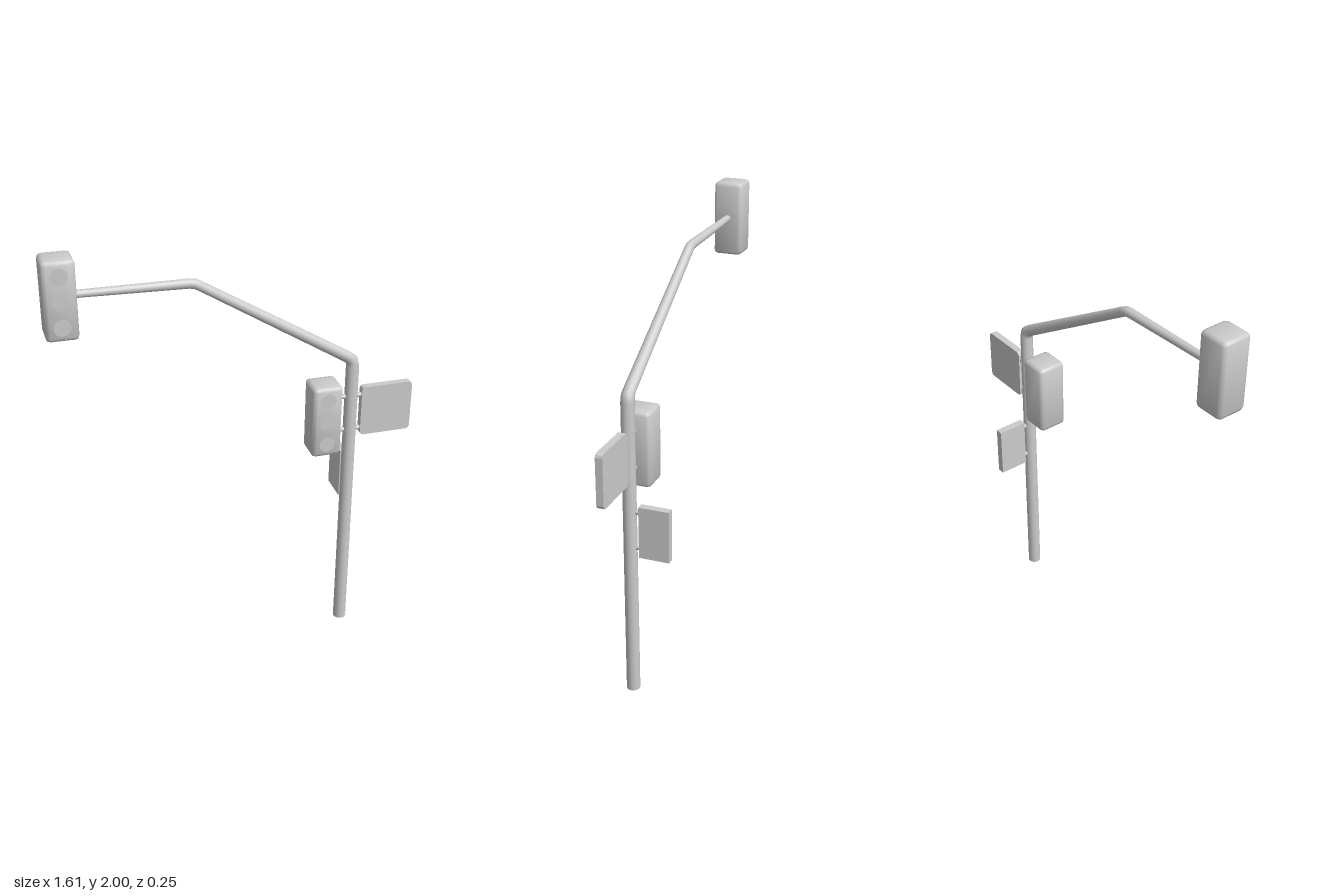
import * as THREE from 'three';
import { RoundedBoxGeometry } from 'three/addons/geometries/RoundedBoxGeometry.js';

const Z = 0.055;      // depth of the pole axis
const POLE_X = 0.519;

export function createModel() {
  const model = new THREE.Group();
  const grey = new THREE.MeshStandardMaterial({ color: 0xcccccc });

  const add = (parent, name, geometry, x = 0, y = 0, z = 0) => {
    const mesh = new THREE.Mesh(geometry, grey);
    mesh.name = name;
    mesh.position.set(x, y, z);
    parent.add(mesh);
    return mesh;
  };

  // Tapered pipe in the XY plane; each ring is [x, y, radius, angle of its direction from +x]
  const pipe = (rings, sides = 16) => {
    const pos = [], index = [];
    for (const [x, y, r, a] of rings) {
      for (let i = 0; i < sides; i++) {
        const t = (i / sides) * Math.PI * 2, u = Math.cos(t) * r;
        pos.push(x + Math.sin(a) * u, y - Math.cos(a) * u, Math.sin(t) * r);
      }
    }
    for (let k = 0; k < rings.length - 1; k++) {
      for (let i = 0; i < sides; i++) {
        const a = k * sides + i, b = k * sides + (i + 1) % sides;
        index.push(a, b + sides, b, a, a + sides, b + sides);
      }
    }
    const g = new THREE.BufferGeometry();
    g.setAttribute('position', new THREE.Float32BufferAttribute(pos, 3));
    g.setIndex(index);
    g.computeVertexNormals();
    return g;
  };

  // Pole bending into the tapered overhead arm
  const up = Math.PI / 2, slope = Math.PI - 0.55, flat = Math.PI - 0.02;
  add(model, 'poleAndArm', pipe([
    [POLE_X, 0, 0.03, up],
    [POLE_X, 1.365, 0.029, up],
    [POLE_X - 0.006, 1.393, 0.028, (up + slope) / 2],
    [POLE_X - 0.028, 1.41, 0.026, slope],
    [-0.165, 1.814, 0.021, slope],
    [-0.185, 1.824, 0.021, (slope + flat) / 2],
    [-0.21, 1.827, 0.0205, flat],
    [-0.69, 1.835, 0.016, flat],
  ]), 0, 0, Z);
  add(model, 'poleBase', new THREE.CircleGeometry(0.03, 16), POLE_X, 0, Z).rotation.x = Math.PI / 2;

  // Chamfered housing whose normals lean outwards, for a softly rounded look
  const size = new THREE.Vector3(0.135, 0.338, 0.134);
  const housing = new RoundedBoxGeometry(size.x, size.y, size.z, 1, 0.018);
  const { position, normal } = housing.attributes;
  const p = new THREE.Vector3(), n = new THREE.Vector3();
  for (let i = 0; i < position.count; i++) {
    p.fromBufferAttribute(position, i).divide(size);
    n.fromBufferAttribute(normal, i).addScaledVector(p, 0.7).normalize();
    normal.setXYZ(i, n.x, n.y, n.z);
  }

  // Signal heads with three flush lenses
  const signal = (name, x, y) => {
    const head = new THREE.Group();
    head.name = name;
    head.position.set(x, y, Z);
    add(head, 'housing', housing);
    for (const dy of [0.107, 0, -0.107]) {
      add(head, 'lens', new THREE.CircleGeometry(0.036, 24), 0, dy, size.z / 2 + 0.0007);
    }
    model.add(head);
  };
  signal('armSignal', -0.738, 1.831);
  signal('poleSignal', 0.391, 1.129);

  // Street sign plate with clipped corners
  const h = 0.119, c = 0.016, k = c * 0.3;
  const plate = new THREE.Shape([
    [-h + c, -h], [h - c, -h], [h - k, -h + k], [h, -h + c],
    [h, h - c], [h - k, h - k], [h - c, h], [-h + c, h],
    [-h + k, h - k], [-h, h - c], [-h, -h + c], [-h + k, -h + k],
  ].map(([x, y]) => new THREE.Vector2(x, y)));
  const plateGeometry = new THREE.ExtrudeGeometry(plate, { depth: 0.032, bevelEnabled: false });
  add(model, 'sideSign', plateGeometry, 0.684, 1.136, Z - 0.016);

  // Flat box behind the pole
  add(model, 'rearBox', new THREE.BoxGeometry(0.034, 0.236, 0.136), POLE_X - 0.002, 0.789, -0.057);

  // Mounting brackets
  for (const y of [1.215, 1.05]) {
    add(model, 'sideBracket', new THREE.CylinderGeometry(0.011, 0.011, 0.136, 10), 0.511, y, Z)
      .rotation.z = Math.PI / 2;
  }
  for (const y of [0.875, 0.71]) {
    add(model, 'rearBracket', new THREE.CylinderGeometry(0.011, 0.011, 0.06, 10), POLE_X - 0.002, y, 0.03)
      .rotation.x = Math.PI / 2;
  }
  return model;
}
